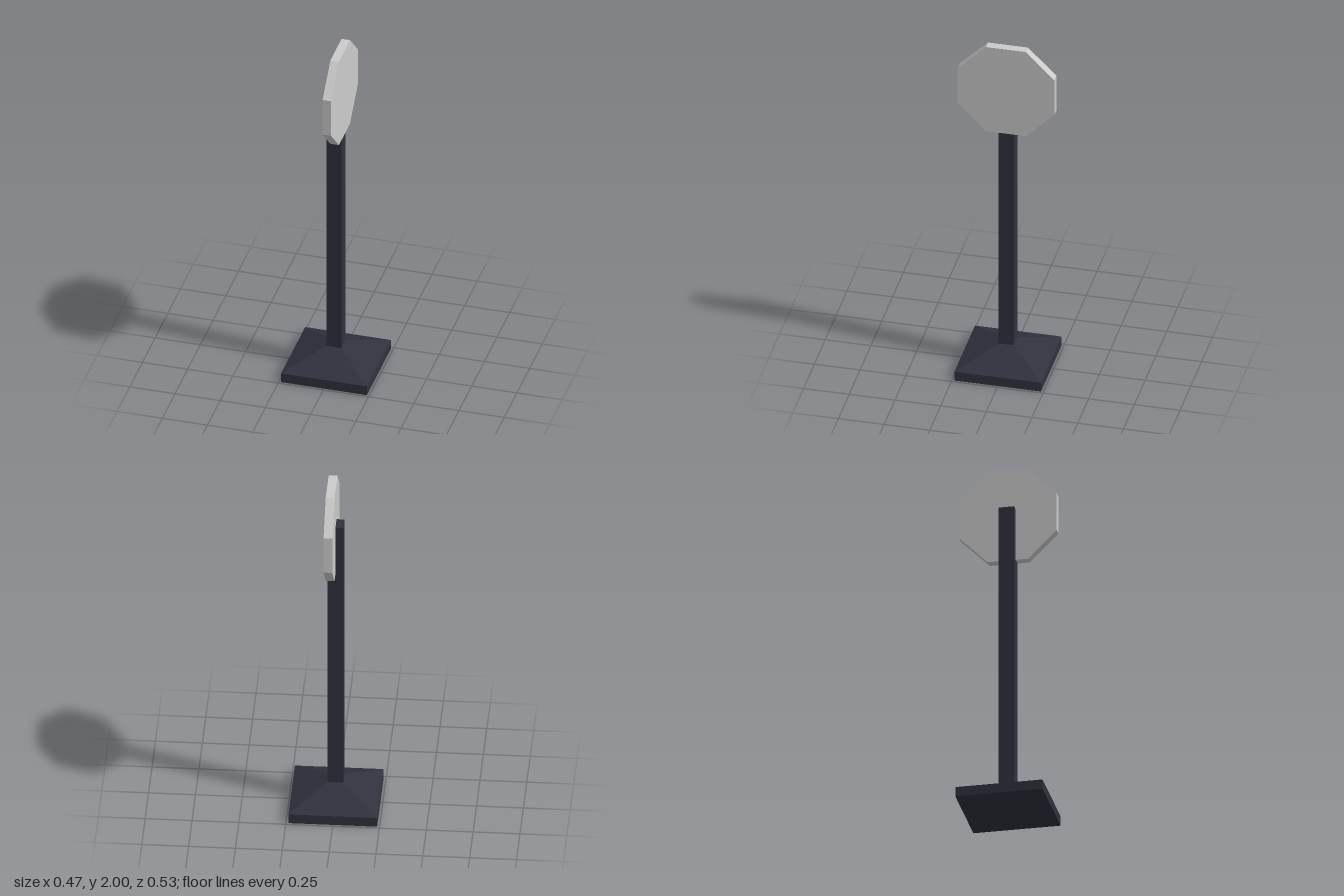
import * as THREE from 'three';

export function createModel() {
  const model = new THREE.Group();
  const dark = new THREE.MeshStandardMaterial({ color: 0x2f313d, flatShading: true });
  const grey = new THREE.MeshStandardMaterial({ color: 0xcccccc, flatShading: true });

  function add(name, geometry, material, x, y, z) {
    const mesh = new THREE.Mesh(geometry, material);
    mesh.name = name;
    mesh.position.set(x, y, z);
    model.add(mesh);
  }

  const baseHalf = 0.237, baseHeight = 0.055, slopeTop = 0.143;
  const postHalf = 0.042, postTop = 1.767;

  // Square foot slab
  add('footSlab', new THREE.BoxGeometry(baseHalf * 2, baseHeight, baseHalf * 2), dark, 0, baseHeight / 2, 0);

  // Four-sided slope from the slab up to the post
  const slopeHeight = slopeTop - baseHeight;
  const slope = new THREE.CylinderGeometry(postHalf * Math.SQRT2, baseHalf * Math.SQRT2, slopeHeight, 4, 1, true);
  slope.rotateY(Math.PI / 4);
  add('footSlope', slope, dark, 0, baseHeight + slopeHeight / 2, 0);

  // Square post
  const postHeight = postTop - slopeTop;
  add('post', new THREE.BoxGeometry(postHalf * 2, postHeight, postHalf * 2), dark, 0, slopeTop + postHeight / 2, 0);

  // Octagonal sign plate facing sideways, let into the post
  const plateHalf = 0.2645, plateThickness = 0.047;
  const plate = new THREE.CylinderGeometry(1, 1, plateThickness, 8);
  plate.rotateY(Math.PI / 8);
  plate.rotateZ(Math.PI / 2);
  const radius = plateHalf / Math.cos(Math.PI / 8);
  plate.scale(1, radius, radius);
  add('signPlate', plate, grey, plateThickness / 2, 2 - plateHalf, 0);

  return model;
}
